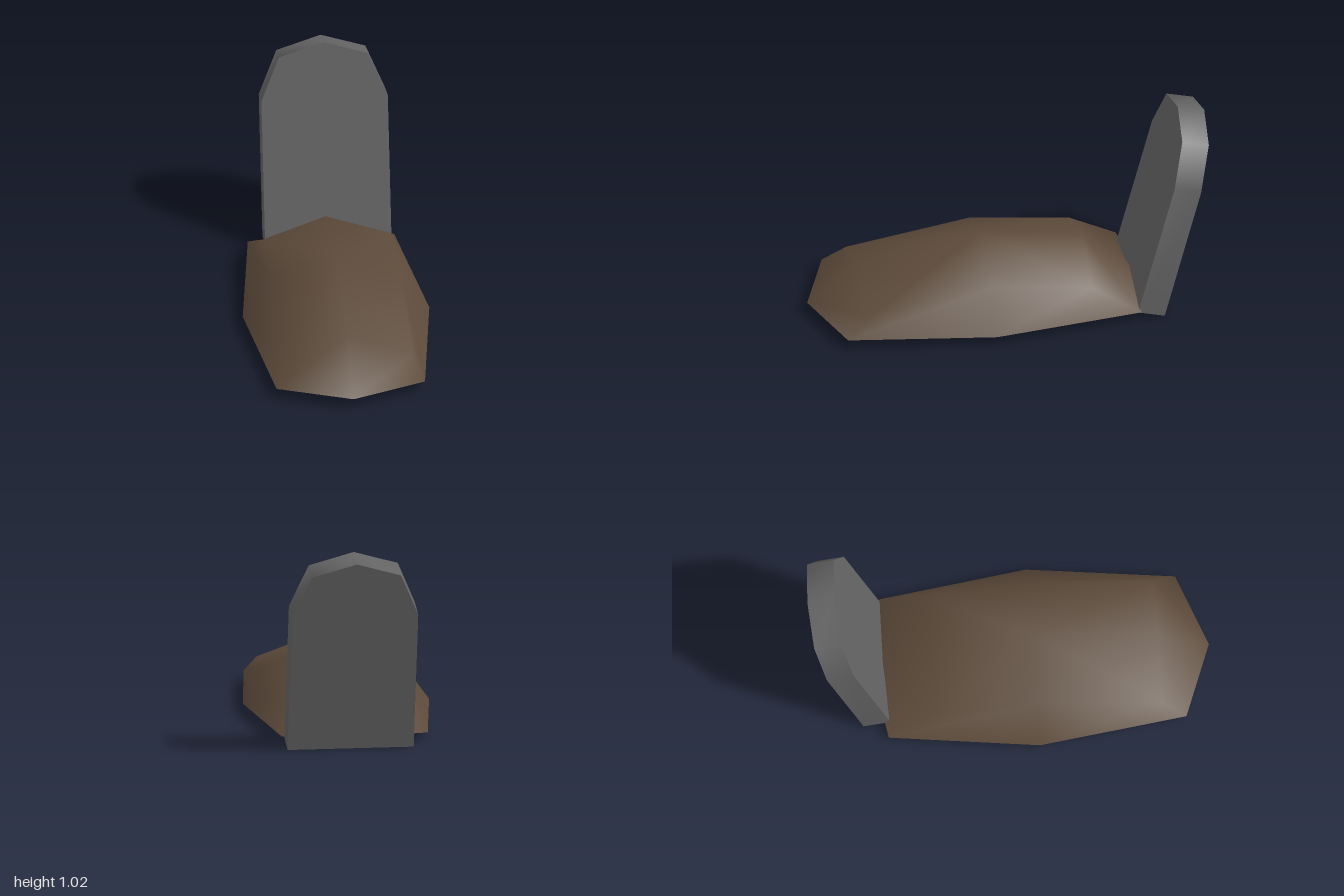
import * as THREE from 'three';
import { toCreasedNormals } from 'three/addons/utils/BufferGeometryUtils.js';

const soil = new THREE.MeshStandardMaterial({ color: 0x5c4a3a, side: THREE.DoubleSide });
soil.name = 'brown soil';
const stone = new THREE.MeshStandardMaterial({ color: 0x646464 });
stone.name = 'grey stone';

// Completes a ring of points, given from front to back along +x, on the -x side
const mirrorRing = (half) => [...half, ...half.slice(1, -1).reverse().map(([x, y, z]) => [-x, y, z])];

// Open smooth shell: ground rim, shoulder ring and a peak
function createMound() {
  const rim = mirrorRing([[0, 0.055, 1], [0.37, 0.055, 0.86], [0.465, 0.05, 0.125], [0.365, 0.045, -0.62], [0, 0.045, -0.68]]);
  const shoulder = mirrorRing([[0, 0.265, 0.745], [0.32, 0.15, 0.745], [0.32, 0.25, 0.125], [0.32, 0.19, -0.38], [0, 0.305, -0.385]]);
  const peak = [0, 0.375, 0.125];
  const n = rim.length;
  const index = [];
  for (let i = 0; i < n; i++) {
    const j = (i + 1) % n;
    index.push(i, j, n + j, i, n + j, n + i); // sloping side
    index.push(n + i, n + j, 2 * n); // upper face
  }
  const geometry = new THREE.BufferGeometry();
  geometry.setAttribute('position', new THREE.Float32BufferAttribute([...rim, ...shoulder, peak].flat(), 3));
  geometry.setIndex(index);
  geometry.computeVertexNormals();
  const mound = new THREE.Mesh(geometry, soil);
  mound.name = 'earthMound';
  return mound;
}

// Upright slab with a faceted arched top, leaning back
function createHeadstone() {
  const half = [[0.315, 0], [0.315, 0.733], [0.222, 0.955]];
  const outline = [...half, [0, 1.022], ...half.map(([x, y]) => [-x, y]).reverse()];
  const shape = new THREE.Shape(outline.map(([x, y]) => new THREE.Vector2(x, y)));
  const depth = 0.138;
  const slab = new THREE.ExtrudeGeometry(shape, { depth, bevelEnabled: false });
  slab.translate(0, 0, -depth);
  const headstone = new THREE.Mesh(toCreasedNormals(slab, Math.PI / 3), stone);
  headstone.name = 'headstone';
  headstone.rotation.x = -0.253;
  headstone.position.set(0.035, 0.036, -0.605);
  return headstone;
}

export function createModel() {
  const model = new THREE.Group();
  model.name = 'grave';
  model.add(createMound(), createHeadstone());
  return model;
}
